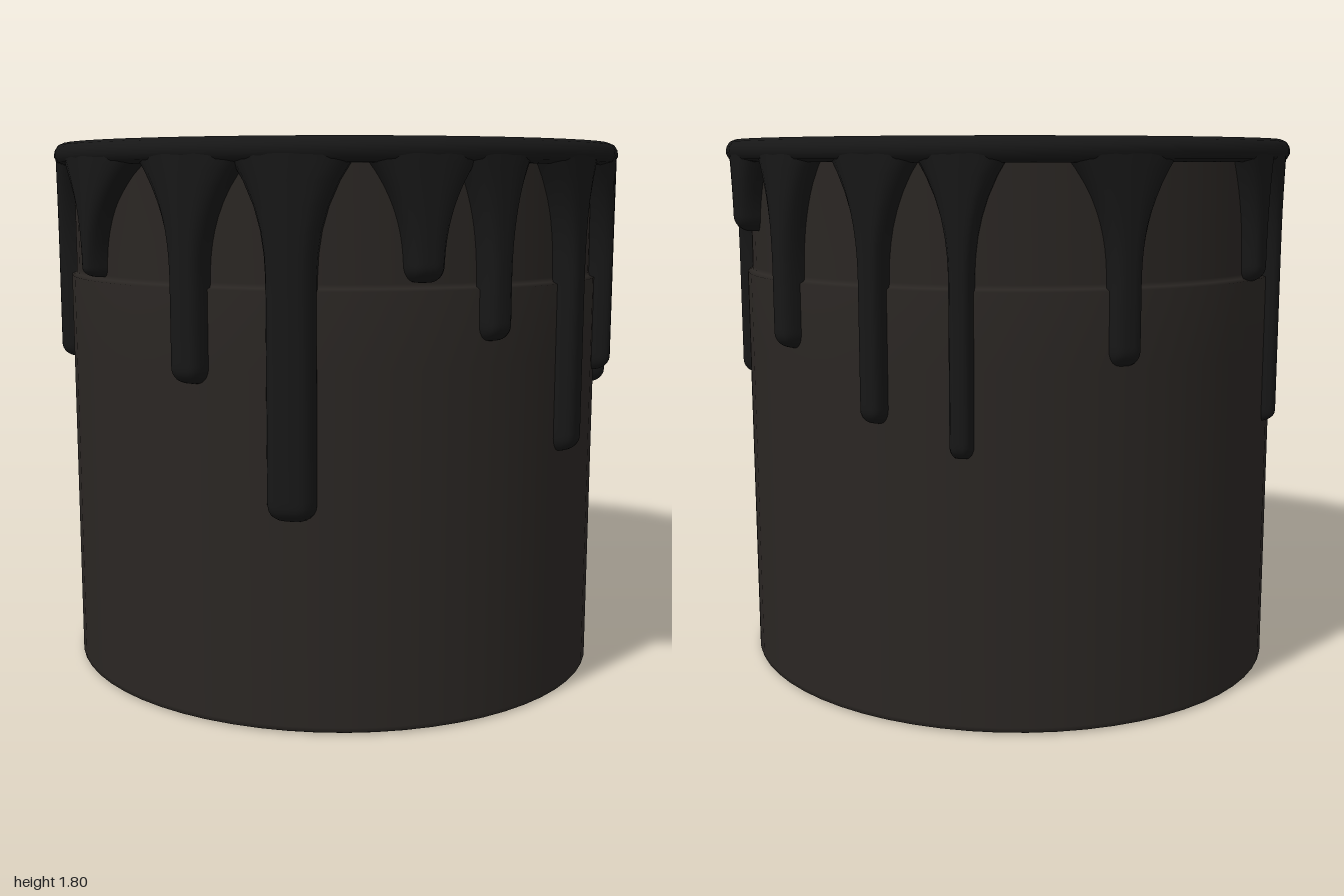
import * as THREE from 'three';

const BODY = new THREE.MeshStandardMaterial({ color: 0x2a2623 });
const ICING = new THREE.MeshStandardMaterial({ color: 0x171717, side: THREE.DoubleSide });

// drips around the rim: [angle in degrees from the front, half width, lowest y, flare at top]
const DRIPS = [
  [-42, 0.045, 1.06, 0.12], [-12.5, 0.03, 1.37, 0.26], [14.5, 0.062, 1.07, 0.15],
  [34.5, 0.08, 0.67, 0.12], [59, 0.06, 1.38, 0.13], [73.5, 0.05, 1.2, 0.09],
  [95, 0.052, 0.82, 0.12], [117, 0.045, 1.04, 0.1], [133, 0.056, 0.96, 0.12],
  [160, 0.05, 1.5, 0.12], [180, 0.05, 1.15, 0.11], [202, 0.045, 0.95, 0.12],
  [219, 0.04, 0.86, 0.11], [249, 0.055, 1.13, 0.14], [284, 0.05, 1.35, 0.08],
  [294.5, 0.036, 0.87, 0.09],
];
const TOP = 1.75, INNER = 0.905, DEPTH = 0.079;

function lathe(name, profile, segments, material) {
  const points = profile.map(([r, y]) => new THREE.Vector2(r, y));
  const mesh = new THREE.Mesh(new THREE.LatheGeometry(points, segments), material);
  mesh.name = name;
  return mesh;
}

// one drip: rounded cross-sections wrapped on the wall, flaring into the rim and closing at the tip
function drip([degrees, half, bottom, flare]) {
  const across = 12, down = 28, positions = [], index = [];
  const angle = THREE.MathUtils.degToRad(degrees);
  const flareStart = Math.min(Math.max(bottom, 1.36), 1.45);
  const tipLength = Math.min(half, 0.05);
  for (let j = 0; j <= down; j++) {
    const y = bottom + (TOP - bottom) * (1 - j / down) ** 2;
    const t = Math.max(0, (y - flareStart) / (TOP - flareStart));
    const k = THREE.MathUtils.clamp(1 - (y - bottom) / tipLength, 0, 1);
    const tip = Math.sqrt(1 - k * k);
    const width = (half + flare * t ** 2.5) * (0.35 + 0.65 * tip);
    const depth = j === down ? 0 : DEPTH * (0.3 + 0.7 * tip);
    for (let i = 0; i <= across; i++) {
      const u = -Math.cos((Math.PI * i) / across);
      const r = INNER + depth * Math.sqrt(Math.max(0, 1 - u ** 4));
      const a = angle + (u * width) / 0.95;
      positions.push(r * Math.sin(a), y, r * Math.cos(a));
      if (i < across && j < down) {
        const p = j * (across + 1) + i, q = p + across + 1;
        index.push(p, q, p + 1, p + 1, q, q + 1);
      }
    }
  }
  const geometry = new THREE.BufferGeometry();
  geometry.setAttribute('position', new THREE.Float32BufferAttribute(positions, 3));
  geometry.setIndex(index);
  geometry.computeVertexNormals();
  const mesh = new THREE.Mesh(geometry, ICING);
  mesh.name = 'drip';
  return mesh;
}

export function createModel() {
  const model = new THREE.Group();
  model.name = 'drippingCylinder';

  // straight wall with a narrow step below the covered neck
  const body = lathe('body', [[0, 0], [0.925, 0], [0.938, 0.006], [0.938, 0.02], [0.938, 1.12],
    [0.938, 1.355], [0.922, 1.362], [0.92, 1.375], [0.92, 1.76]], 64, BODY);
  body.position.x = -0.02;
  body.scale.z = 0.967; // slightly shallower than wide

  // poured top with a rounded rim
  const topping = new THREE.Group();
  topping.name = 'topping';
  topping.add(lathe('rim', [[0.88, 1.725], [0.95, 1.725], [0.978, 1.735], [0.988, 1.755],
    [0.985, 1.775], [0.974, 1.792], [0.955, 1.8], [0.94, 1.8], [0, 1.8]], 48, ICING));
  for (const d of DRIPS) topping.add(drip(d));
  topping.position.x = -0.01;
  topping.scale.z = 0.975;

  model.add(body, topping);
  return model;
}
